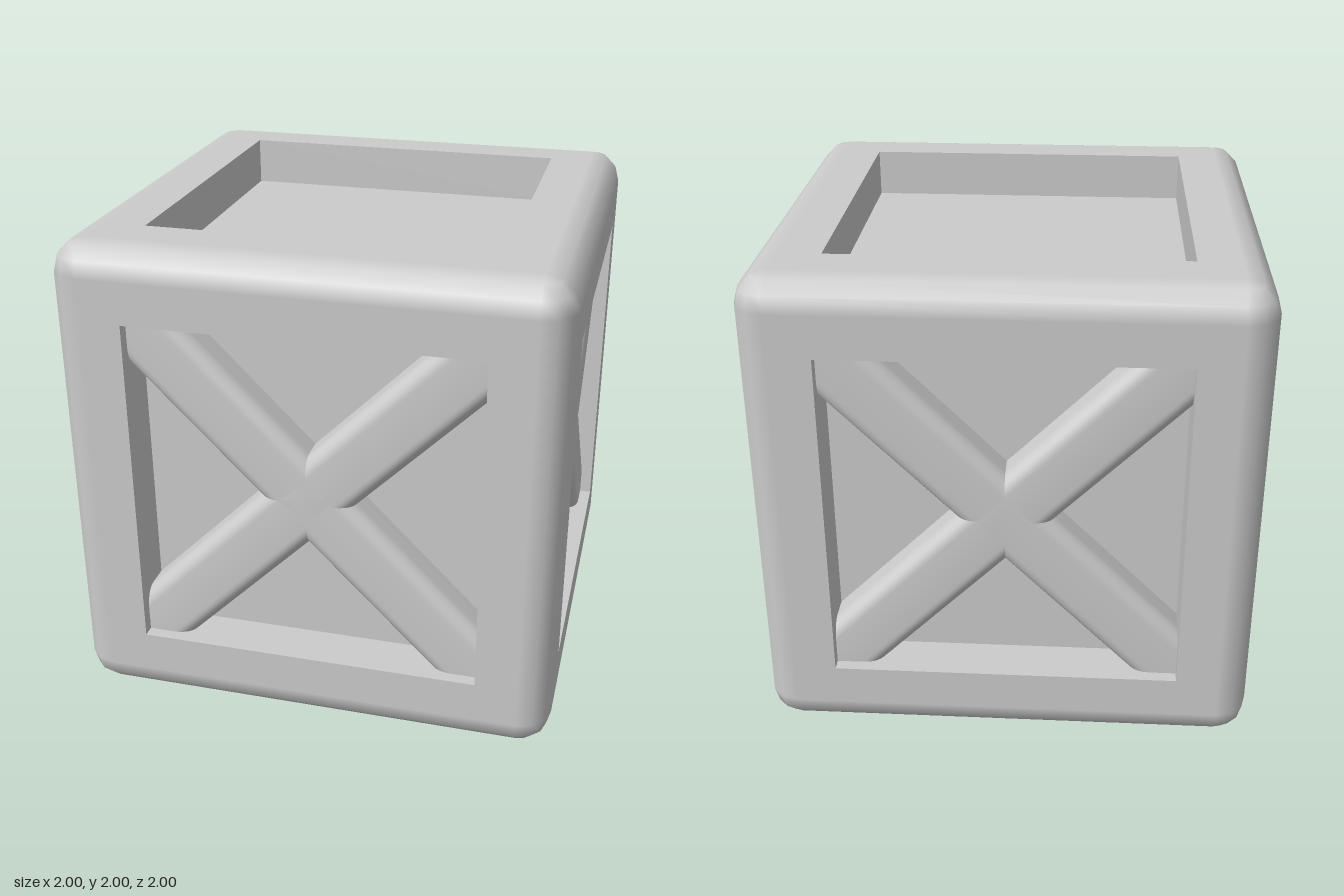
import * as THREE from 'three';
import { toCreasedNormals } from 'three/addons/utils/BufferGeometryUtils.js';

const R = 0.13;          // rounding of the outer edges
const E = 1 - R;         // centre line of the rounded edges
const OPEN = 0.7;        // half width of each opening
const PANEL = 0.8;       // distance of the recessed panels from the centre
const BRACE_TOP = 0.95;  // outer face of the braces

function squarePoints(h) {
  return [[-h, -h], [h, -h], [h, h], [-h, h]].map(([x, y]) => new THREE.Vector2(x, y));
}

// Square ring facing +z, with the walls of its opening
function ringGeometry() {
  const shape = new THREE.Shape(squarePoints(E));
  shape.holes.push(new THREE.Path(squarePoints(OPEN).reverse()));
  const geo = new THREE.ExtrudeGeometry(shape, { depth: 1 - PANEL, bevelEnabled: false });
  return geo.translate(0, 0, PANEL);
}

// Bar with two rounded outer edges, running along y and facing +z
function braceGeometry() {
  const w = 0.136, r = 0.06, length = 2.16, base = PANEL - 0.02;
  const shape = new THREE.Shape();
  shape.moveTo(-w, base);
  shape.lineTo(w, base);
  shape.absarc(w - r, BRACE_TOP - r, r, 0, Math.PI / 2, false);
  shape.absarc(-w + r, BRACE_TOP - r, r, Math.PI / 2, Math.PI, false);
  shape.closePath();
  const geo = new THREE.ExtrudeGeometry(shape, { depth: length, bevelEnabled: false, curveSegments: 4 });
  geo.translate(0, 0, -length / 2).rotateX(Math.PI / 2);
  return toCreasedNormals(geo, 0.7);
}

export function createModel() {
  const crate = new THREE.Group();
  crate.name = 'crate';
  const body = new THREE.Group();
  body.name = 'body';
  body.position.y = 1;
  crate.add(body);

  const material = new THREE.MeshStandardMaterial({ color: 0xcccccc });
  const add = (parent, name, geo) => {
    const mesh = new THREE.Mesh(geo, material);
    mesh.name = name;
    parent.add(mesh);
    return mesh;
  };

  // Inner box gives the six recessed panels
  add(body, 'panels', new THREE.BoxGeometry(2 * PANEL, 2 * PANEL, 2 * PANEL));

  // Six frame faces, with crossed braces on the four sides
  const ring = ringGeometry();
  const brace = braceGeometry();
  for (let i = 0; i < 4; i++) {
    const side = new THREE.Group();
    side.name = ['front', 'left', 'back', 'right'][i] + 'Side';
    side.rotation.y = i * Math.PI / 2;
    body.add(side);
    add(side, 'frame', ring);
    for (const s of [-1, 1]) {
      add(side, s < 0 ? 'risingBrace' : 'fallingBrace', brace).rotation.z = s * Math.PI / 4;
    }
  }
  add(body, 'topFrame', ring).rotation.x = -Math.PI / 2;
  add(body, 'bottomFrame', ring).rotation.x = Math.PI / 2;

  // Rounded edges and corners
  const edge = new THREE.CylinderGeometry(R, R, 2 * E, 12, 1, true);
  const corner = new THREE.SphereGeometry(R, 12, 6);
  for (const a of [-E, E]) {
    for (const b of [-E, E]) {
      add(body, 'uprightEdge', edge).position.set(a, 0, b);
      const across = add(body, 'crossEdge', edge);
      across.position.set(0, a, b);
      across.rotation.z = Math.PI / 2;
      const deep = add(body, 'depthEdge', edge);
      deep.position.set(a, b, 0);
      deep.rotation.x = Math.PI / 2;
      for (const c of [-E, E]) add(body, 'corner', corner).position.set(a, b, c);
    }
  }
  return crate;
}
